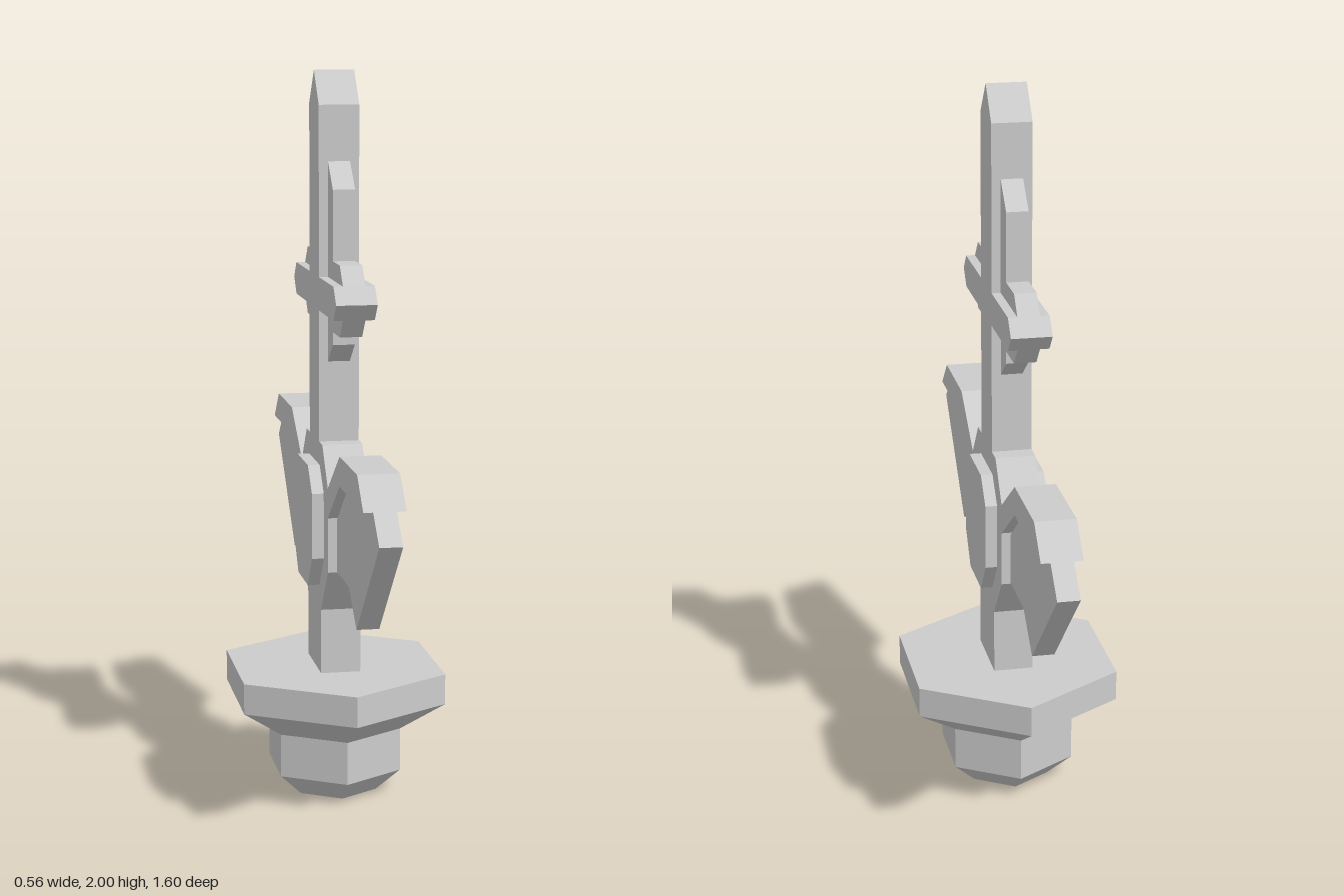
import * as THREE from 'three';

const THICK = 0.11, THIN = 0.06, PLATE = 0.175;

export function createModel() {
  const group = new THREE.Group();
  const grey = new THREE.MeshStandardMaterial({ color: 0xcccccc, flatShading: true });

  // Flat slab: outline given as [z, y], extruded across x and centred on x = 0
  function slab(name, points, width) {
    const shape = new THREE.Shape(points.map(([z, y]) => new THREE.Vector2(z, y)));
    const geometry = new THREE.ExtrudeGeometry(shape, { depth: width, bevelEnabled: false });
    geometry.translate(0, 0, -width / 2).rotateY(-Math.PI / 2);
    const mesh = new THREE.Mesh(geometry, grey);
    mesh.name = name;
    group.add(mesh);
  }

  // Half outline (z > 0) completed by its mirror image
  const mirrored = (half) => [...half, ...half.filter(([z]) => z > 0).reverse().map(([z, y]) => [-z, y])];

  // Hexagonal stepped base, slightly narrower across x
  const profile = [[0, 0], [0.135, 0], [0.213, 0.065], [0.213, 0.185], [0.355, 0.27], [0.355, 0.355], [0, 0.355]];
  const base = new THREE.Mesh(
    new THREE.LatheGeometry(profile.map(([r, y]) => new THREE.Vector2(r, y)), 6), grey);
  base.scale.x = 0.91;
  base.name = 'base';
  group.add(base);

  // Stem widening into the hub
  slab('stemAndHub', mirrored([[0.105, 0.35], [0.105, 0.535], [0.213, 0.665], [0.213, 0.897], [0.128, 1.0]]), THICK);
  // Raised octagonal plate on both sides of the hub
  slab('hubPlate', mirrored([[0.08, 0.6], [0.15, 0.69], [0.15, 0.87], [0.085, 0.937]]), PLATE);

  // Blade with pointed tip
  slab('blade', mirrored([[0.076, 1.0], [0.076, 1.91], [0, 2.0]]), THICK);

  for (const s of [1, -1]) {
    const side = (points) => points.map(([z, y]) => [s * z, y]);
    // Wing: thin panel under a thicker upper rim
    slab('wingPanel', side([[0.2, 0.667], [0.39, 0.667], [0.5, 0.58], [0.8, 0.865],
      [0.72, 0.937], [0.385, 0.937], [0.2, 0.8]]), THIN);
    slab('wingRim', side([[0.213, 0.815], [0.39, 0.937], [0.72, 0.937], [0.637, 1.017],
      [0.39, 1.017], [0.213, 0.897]]), THICK);
    // Guard: thin stepped fin with a thicker bar along its middle
    slab('guardFin', side([[0.07, 1.22], [0.076, 1.22], [0.15, 1.275], [0.15, 1.31], [0.255, 1.31], [0.34, 1.405],
      [0.255, 1.5], [0.15, 1.5], [0.15, 1.69], [0.076, 1.76], [0.07, 1.76]]), THIN);
    slab('guardBar', side([[0.076, 1.36], [0.3, 1.36], [0.34, 1.405], [0.3, 1.45], [0.076, 1.45]]), THICK);
  }

  return group;
}
